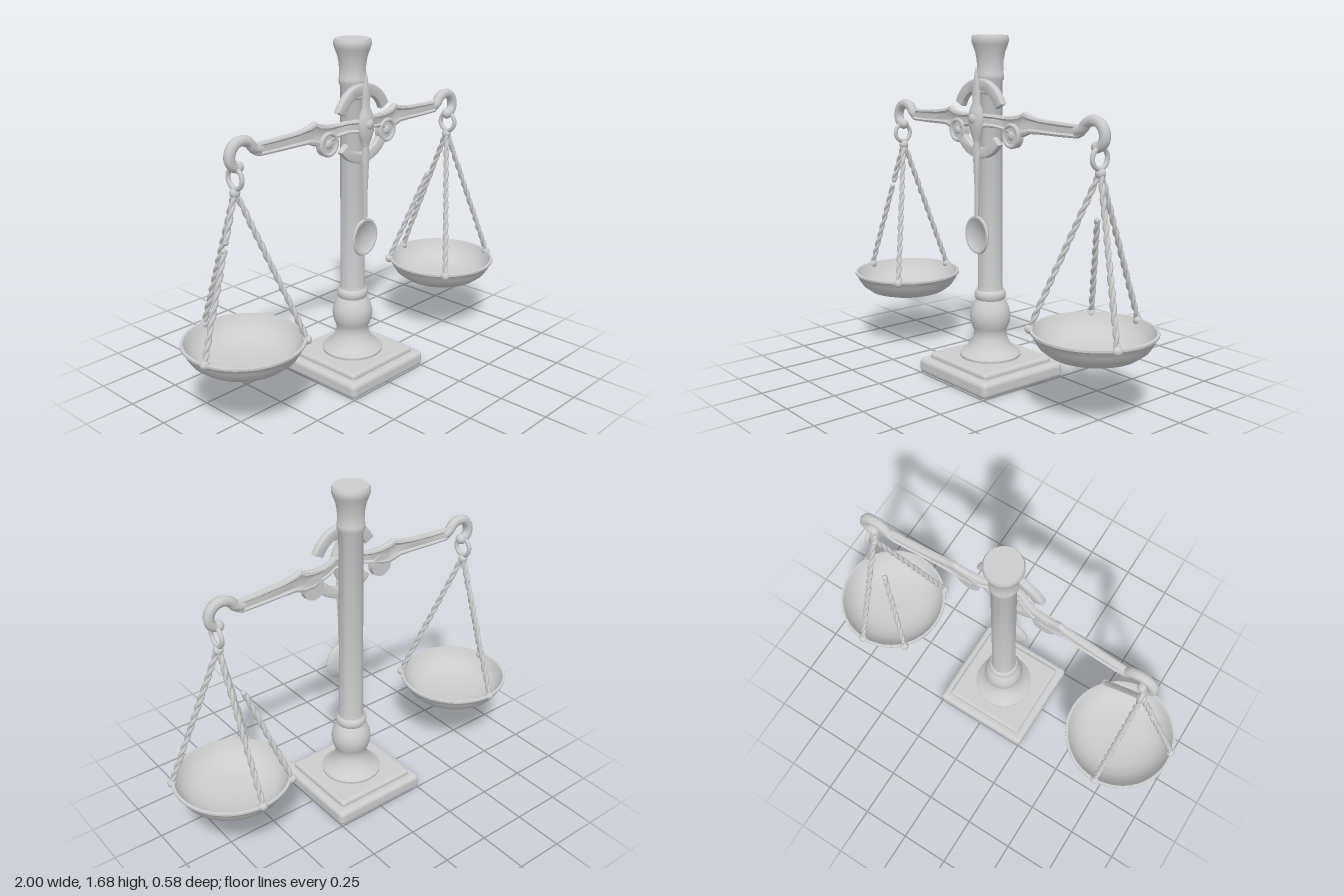
import * as THREE from 'three';
import { toCreasedNormals } from 'three/addons/utils/BufferGeometryUtils.js';
import { RoundedBoxGeometry } from 'three/addons/geometries/RoundedBoxGeometry.js';

const paleMetal = new THREE.MeshStandardMaterial({ color: 0xcccccc });
paleMetal.name = 'paleMetal';

const V = (x, y, z) => new THREE.Vector3(x, y, z);

function add(parent, name, geometry, x = 0, y = 0, z = 0) {
  const mesh = new THREE.Mesh(geometry, paleMetal);
  mesh.name = name;
  mesh.position.set(x, y, z);
  parent.add(mesh);
  return mesh;
}

const lathe = (profile, sides = 40) =>
  toCreasedNormals(new THREE.LatheGeometry(profile.map(([r, y]) => new THREE.Vector2(r, y)), sides), 0.7);

const tube = (points, radius, segments = 32) =>
  new THREE.TubeGeometry(new THREE.CatmullRomCurve3(points), segments, radius, 8);

// Loft along x; each section is [x, bottom, top, z centre, half depth]
function loftBeam(sections) {
  const half = [[0, 1], [0.8, 0.9], [1, 0.65], [0.55, 0.4], [0.55, -0.4], [1, -0.65], [0.8, -0.9]];
  const ring = [...half, ...half.map(([u, v]) => [-u, -v])];
  const n = ring.length, pos = [], idx = [];
  for (const [x, y0, y1, z, d] of sections)
    for (const [u, v] of ring) pos.push(x, (y0 + y1) / 2 + v * (y1 - y0) / 2, z + u * d);
  for (let i = 0; i < sections.length - 1; i++)
    for (let j = 0; j < n; j++) {
      const a = i * n + j, b = i * n + (j + 1) % n;
      idx.push(a, b, a + n, b, b + n, a + n);
    }
  const g = new THREE.BufferGeometry();
  g.setAttribute('position', new THREE.Float32BufferAttribute(pos, 3));
  g.setIndex(idx);
  return toCreasedNormals(g, 0.6);
}

// Arc-shaped plate centred on the +y (or -y) direction
function crescent(inner, outer, middle, spread) {
  const s = new THREE.Shape();
  s.absarc(0, 0, outer, middle - spread, middle + spread, false);
  s.absarc(0, 0, inner, middle + spread, middle - spread, true);
  const g = new THREE.ExtrudeGeometry(s, {
    depth: 0.02, bevelThickness: 0.008, bevelSize: 0.008, bevelSegments: 2, curveSegments: 24,
  });
  return toCreasedNormals(g, 0.6);
}

// Two strands twisted round each other between two points
function rope(parent, name, from, to) {
  const group = new THREE.Group();
  group.name = name;
  const dir = to.clone().sub(from);
  const side = V(0, 0, 1).cross(dir).normalize();
  const other = dir.clone().normalize().cross(side);
  const turns = dir.length() * 9;
  for (const phase of [0, Math.PI]) {
    const pts = [];
    const count = Math.ceil(turns * 8);
    for (let i = 0; i <= count; i++) {
      const a = phase + (i / count) * turns * Math.PI * 2;
      pts.push(from.clone().addScaledVector(dir, i / count)
        .addScaledVector(side, 0.006 * Math.cos(a)).addScaledVector(other, 0.006 * Math.sin(a)));
    }
    add(group, 'strand', new THREE.TubeGeometry(new THREE.CatmullRomCurve3(pts), count, 0.0095, 6));
  }
  for (const p of [from, to]) add(group, 'ropeEnd', new THREE.SphereGeometry(0.014, 10, 8), p.x, p.y, p.z);
  parent.add(group);
}

// Stepped square base and turned column
function buildStand(model) {
  const stand = new THREE.Group();
  stand.name = 'stand';
  add(stand, 'baseSlab', new RoundedBoxGeometry(0.52, 0.08, 0.51, 4, 0.025), 0, 0.04, 0);
  add(stand, 'baseStep', new RoundedBoxGeometry(0.44, 0.07, 0.43, 4, 0.018), 0, 0.073, 0);
  add(stand, 'column', lathe([
    [0, 0.1], [0.15, 0.1], [0.152, 0.12], [0.14, 0.132], [0.12, 0.145], [0.098, 0.172], [0.084, 0.205],
    [0.079, 0.235], [0.088, 0.255], [0.098, 0.285], [0.101, 0.315], [0.096, 0.345], [0.084, 0.375],
    [0.07, 0.397], [0.075, 0.405], [0.078, 0.42], [0.074, 0.437], [0.064, 0.445], [0.06, 0.47],
    [0.058, 1.46], [0.066, 1.475], [0.066, 1.495], [0.062, 1.505], [0.064, 1.56], [0.071, 1.6],
    [0.084, 1.635], [0.089, 1.65], [0.089, 1.668], [0.083, 1.68], [0, 1.68],
  ]));
  model.add(stand);
}

// Beam bowed forward round the column, with hooks, discs and crescents
function buildBeam(model) {
  const beam = new THREE.Group();
  beam.name = 'beam';
  const half = [
    [0.05, 1.25, 1.315, 0.07, 0.02], [0.09, 1.25, 1.312, 0.045, 0.018], [0.14, 1.24, 1.308, 0.032, 0.017],
    [0.2, 1.22, 1.312, 0.027, 0.017], [0.245, 1.215, 1.322, 0.024, 0.017], [0.275, 1.222, 1.338, 0.022, 0.017],
    [0.31, 1.236, 1.322, 0.02, 0.017], [0.38, 1.238, 1.31, 0.018, 0.017], [0.5, 1.237, 1.303, 0.013, 0.017],
    [0.6, 1.238, 1.3, 0.009, 0.017], [0.625, 1.25, 1.298, 0.008, 0.016], [0.64, 1.27, 1.285, 0.007, 0.008],
  ];
  const mirrored = half.map(([x, ...rest]) => [-x, ...rest]).reverse();
  add(beam, 'beamBar', loftBeam([...mirrored, ...half]));

  for (const s of [-1, 1]) {
    const hook = [[0.59, 1.268], [0.625, 1.28], [0.65, 1.308], [0.685, 1.322], [0.725, 1.315], [0.753, 1.285],
      [0.758, 1.247], [0.742, 1.22], [0.718, 1.212]].map(([x, y]) => V(s * x, y, 0.008));
    add(beam, 'hook', tube(hook, 0.025));
    add(beam, 'hookTip', new THREE.SphereGeometry(0.027, 14, 10), s * 0.716, 1.212, 0.008);

    // Round disc with a raised rim and button
    add(beam, 'beamDisc', new THREE.CylinderGeometry(0.058, 0.058, 0.028, 28), s * 0.2, 1.22, 0.028).rotation.x = Math.PI / 2;
    add(beam, 'discRim', new THREE.TorusGeometry(0.05, 0.01, 8, 28), s * 0.2, 1.22, 0.042);
    add(beam, 'discButton', new THREE.SphereGeometry(0.024, 14, 10), s * 0.2, 1.22, 0.036).scale.z = 0.7;
  }
  add(beam, 'upperCrescent', crescent(0.142, 0.18, Math.PI / 2, 1.12), 0, 1.29, 0.05);
  add(beam, 'lowerCrescent', crescent(0.145, 0.182, -Math.PI / 2, 0.88), 0, 1.29, 0.05);
  add(beam, 'crescentBar', new RoundedBoxGeometry(0.18, 0.03, 0.024, 2, 0.01), 0, 1.42, 0.06);
  model.add(beam);
}

// Needle with central boss, long stem and dished weight
function buildPointer(model) {
  const pointer = new THREE.Group();
  pointer.name = 'pointer';
  const needle = add(pointer, 'needle', lathe([
    [0, 0.8], [0.011, 0.81], [0.012, 0.95], [0.019, 1.08], [0.024, 1.14], [0.017, 1.18], [0.035, 1.22],
    [0.048, 1.26], [0.05, 1.3], [0.04, 1.335], [0.022, 1.37], [0.025, 1.41], [0.017, 1.46], [0.007, 1.515], [0, 1.535],
  ], 16), 0, 0, 0.086);
  needle.scale.z = 0.6;
  add(pointer, 'boss', new THREE.SphereGeometry(0.034, 16, 12), 0, 1.29, 0.09);
  const weight = add(pointer, 'weight', lathe([
    [0, -0.018], [0.05, -0.014], [0.078, -0.004], [0.087, 0.006], [0.083, 0.014], [0.074, 0.014], [0.066, 0.006], [0, 0],
  ], 32), 0, 0.728, 0.076);
  weight.rotation.x = Math.PI / 2;
  weight.scale.z = 1.1;
  model.add(pointer);
}

// Ring, ropes and shallow dish; rim holds [x, z, start, end], where start and end run from rim to ring
function buildPan(model, side, rim) {
  const pan = new THREE.Group();
  pan.name = side > 0 ? 'leftPan' : 'rightPan';
  const cx = side * 0.713;
  add(pan, 'dish', lathe([
    [0, 0.274], [0.08, 0.277], [0.15, 0.286], [0.205, 0.303], [0.245, 0.333], [0.268, 0.368], [0.278, 0.39],
    [0.285, 0.396], [0.285, 0.406], [0.272, 0.407], [0.258, 0.378], [0.234, 0.346], [0.198, 0.319],
    [0.145, 0.302], [0.08, 0.293], [0, 0.29],
  ], 44), cx, 0, 0);
  add(pan, 'ring', new THREE.TorusGeometry(0.046, 0.011, 8, 28), side * 0.73, 1.165, 0.005).rotation.y = Math.PI / 2;
  const top = V(side * 0.73, 1.11, 0);
  add(pan, 'ropeKnot', new THREE.SphereGeometry(0.024, 14, 10), top.x, 1.1, 0);
  for (const [x, z, start, end] of rim) {
    const foot = V(x, 0.405, z);
    rope(pan, 'rope', foot.clone().lerp(top, start), foot.clone().lerp(top, end));
    if (start === 0) add(pan, 'rimKnot', new THREE.SphereGeometry(0.022, 12, 10), x, 0.4, z);
  }
  model.add(pan);
}

export function createModel() {
  const model = new THREE.Group();
  model.name = 'balanceScale';
  buildStand(model);
  buildBeam(model);
  buildPointer(model);
  // Some ropes are snapped partway up
  buildPan(model, 1, [[0.72, -0.275, 0, 1], [0.505, 0.195, 0, 1], [0.965, 0.125, 0, 1], [0.505, -0.195, 0, 0.67]]);
  buildPan(model, -1, [[-0.72, -0.275, 0, 1], [-0.51, 0.2, 0, 1], [-0.98, 0.055, 0, 0.65], [-0.98, 0.055, 0.7, 1]]);
  return model;
}
